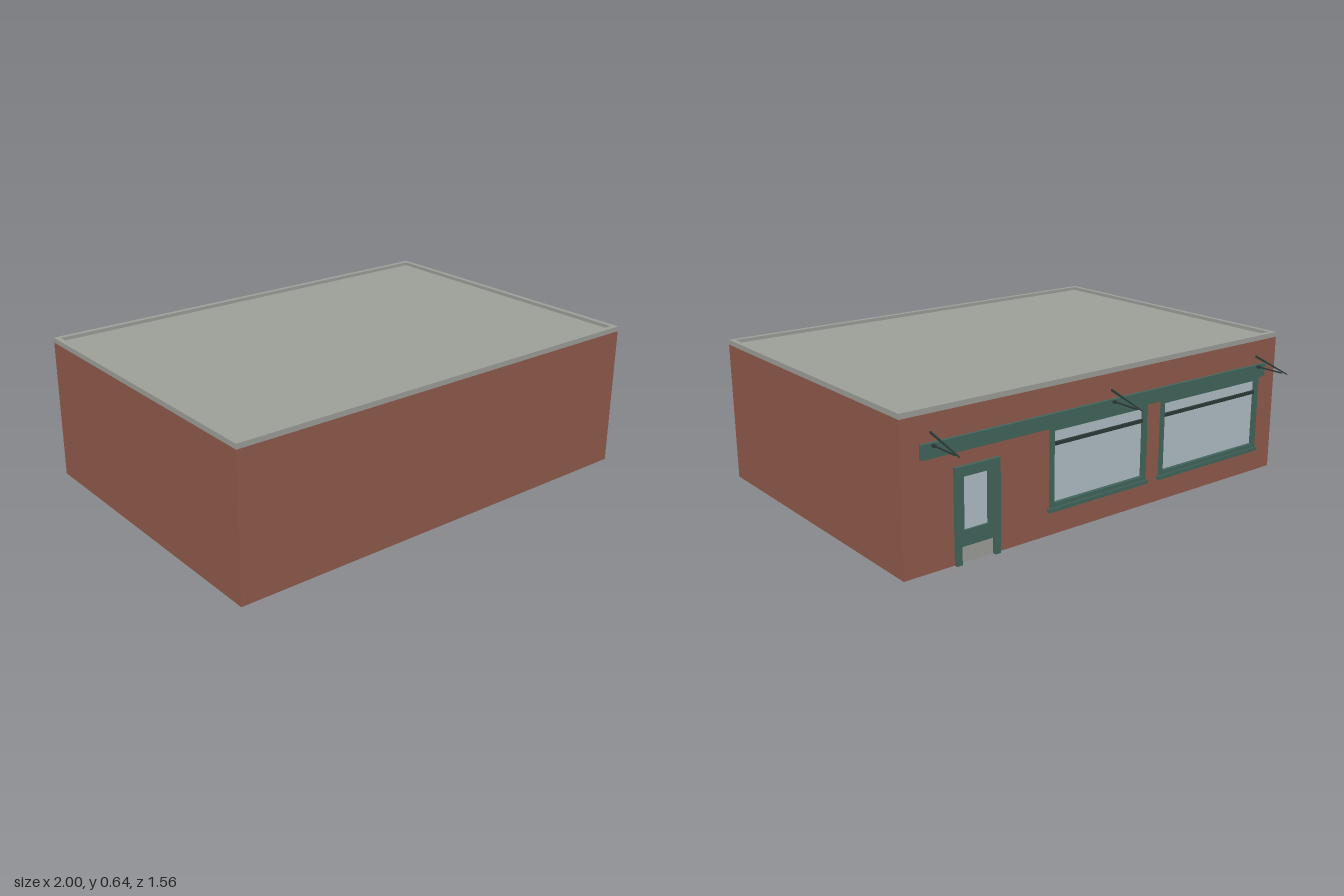
import * as THREE from 'three';

const mat = (name, color) => {
  const m = new THREE.MeshStandardMaterial({ color });
  m.name = name;
  return m;
};

// Main dimensions
const W = 1, BACK = -0.6, FRONT = 0.78, T = 0.03, WALL_H = 0.615, TOP = 0.637;
const DOOR = { x0: 0.57, x1: 0.775, y0: 0, y1: 0.39 };
const WINDOWS = [
  { x0: -0.2, x1: 0.32, y0: 0.115, y1: 0.455 },
  { x0: -0.89, x1: -0.28, y0: 0.115, y1: 0.455 },
];

export function createModel() {
  const brick = mat('brick', 0x8f5a4b);
  const concrete = mat('concrete', 0x9c9e98);
  const green = mat('green paint', 0x42655c);
  const iron = mat('dark iron', 0x2b3a37);
  const glass = mat('glass', 0xb0bec5);
  const model = new THREE.Group();
  model.name = 'shop';

  const add = (parent, name, geometry, material) => {
    const mesh = new THREE.Mesh(geometry, material);
    mesh.name = name;
    parent.add(mesh);
    return mesh;
  };
  // Box given by its minimum and maximum on each axis
  const box = (parent, name, material, x0, x1, y0, y1, z0, z1) => {
    const mesh = add(parent, name, new THREE.BoxGeometry(x1 - x0, y1 - y0, z1 - z0), material);
    mesh.position.set((x0 + x1) / 2, (y0 + y1) / 2, (z0 + z1) / 2);
    return mesh;
  };
  const rect = (Type, x0, x1, y0, y1) => {
    const p = new Type();
    p.moveTo(x0, y0).lineTo(x1, y0).lineTo(x1, y1).lineTo(x0, y1).closePath();
    return p;
  };
  const group = (name) => {
    const g = new THREE.Group();
    g.name = name;
    model.add(g);
    return g;
  };

  // Brick shell, open underneath
  box(model, 'plainWall', brick, -W, W, 0, WALL_H, FRONT - T, FRONT);
  for (const s of [-1, 1]) {
    const x = s * (W - T / 2);
    box(model, 'sideWall', brick, x - T / 2, x + T / 2, 0, WALL_H, BACK + T, FRONT - T);
  }

  // Shop wall with a door notch and two window openings
  const wall = new THREE.Shape();
  wall.moveTo(-W, 0).lineTo(DOOR.x0, 0).lineTo(DOOR.x0, DOOR.y1).lineTo(DOOR.x1, DOOR.y1)
    .lineTo(DOOR.x1, 0).lineTo(W, 0).lineTo(W, WALL_H).lineTo(-W, WALL_H).closePath();
  for (const o of WINDOWS) wall.holes.push(rect(THREE.Path, o.x0, o.x1, o.y0, o.y1));
  add(model, 'shopWall', new THREE.ExtrudeGeometry(wall, { depth: T, bevelEnabled: false }), brick)
    .position.z = BACK;

  // Parapet cap and sunken roof
  const cap = rect(THREE.Shape, -W, W, -FRONT, -BACK);
  cap.holes.push(rect(THREE.Path, -W + 0.023, W - 0.023, -FRONT + 0.023, -BACK - 0.023));
  const capGeo = new THREE.ExtrudeGeometry(cap, { depth: TOP - WALL_H, bevelEnabled: false });
  capGeo.rotateX(-Math.PI / 2);
  add(model, 'parapetCap', capGeo, concrete).position.y = WALL_H;
  box(model, 'roof', concrete, -W + 0.023, W - 0.023, 0.616, 0.622, BACK + 0.023, FRONT - 0.023);
  box(model, 'ceiling', concrete, -W + T, W - T, 0.585, 0.616, BACK + T, FRONT - T);

  // Four frame bars around an opening
  const frame = (parent, o, w, z0, z1) => {
    box(parent, 'jamb', green, o.x0, o.x0 + w, o.y0, o.y1, z0, z1);
    box(parent, 'jamb', green, o.x1 - w, o.x1, o.y0, o.y1, z0, z1);
    box(parent, 'headRail', green, o.x0 + w, o.x1 - w, o.y1 - w, o.y1, z0, z1);
    if (o.y0 > 0) box(parent, 'bottomRail', green, o.x0 + w, o.x1 - w, o.y0, o.y0 + w, z0, z1);
  };

  // Display windows with a high transom bar and a sill
  for (const o of WINDOWS) {
    const g = group('shopWindow');
    frame(g, o, 0.02, BACK - 0.008, BACK + 0.02);
    box(g, 'pane', glass, o.x0 + 0.02, o.x1 - 0.02, o.y0 + 0.02, o.y1 - 0.02, BACK + 0.008, BACK + 0.014);
    box(g, 'transomBar', iron, o.x0 + 0.02, o.x1 - 0.02, 0.372, 0.386, BACK - 0.003, BACK + 0.02);
    box(g, 'sill', green, o.x0 - 0.01, o.x1 + 0.01, 0.1, 0.117, BACK - 0.014, BACK + 0.001);
  }

  // Glazed door with a grey kick plate
  const door = group('door');
  frame(door, DOOR, 0.025, BACK - 0.016, BACK + 0.02);
  const leaf = { x0: DOOR.x0 + 0.025, x1: DOOR.x1 - 0.025, y0: 0.065, y1: DOOR.y1 - 0.025 };
  frame(door, leaf, 0.022, BACK, BACK + 0.02);
  box(door, 'lockRail', green, leaf.x0 + 0.022, leaf.x1 - 0.022, 0.087, 0.13, BACK, BACK + 0.02);
  box(door, 'doorPane', glass, leaf.x0 + 0.022, leaf.x1 - 0.022, 0.13, leaf.y1 - 0.022, BACK + 0.008, BACK + 0.014);
  box(door, 'kickPlate', concrete, leaf.x0, leaf.x1, 0, 0.065, BACK + 0.002, BACK + 0.018);

  // Fascia beam above the openings
  box(model, 'fascia', green, -0.92, 0.92, 0.45, 0.508, BACK - 0.014, BACK + 0.001);

  // Awning brackets: a level arm and a sloping stay
  for (const x of [-0.87, 0, 0.87]) {
    const g = group('awningBracket');
    box(g, 'arm', iron, x - 0.003, x + 0.003, 0.497, 0.502, -0.75, BACK);
    box(g, 'armFoot', iron, x - 0.006, x + 0.006, 0.494, 0.505, BACK - 0.03, BACK);
    const stay = new THREE.Shape();
    stay.moveTo(0.6, 0.549).lineTo(0.6, 0.54).lineTo(0.778, 0.498).lineTo(0.778, 0.501).closePath();
    const geo = new THREE.ExtrudeGeometry(stay, { depth: 0.006, bevelEnabled: false });
    geo.rotateY(Math.PI / 2);
    add(g, 'stay', geo, iron).position.x = x - 0.003;
  }
  return model;
}
